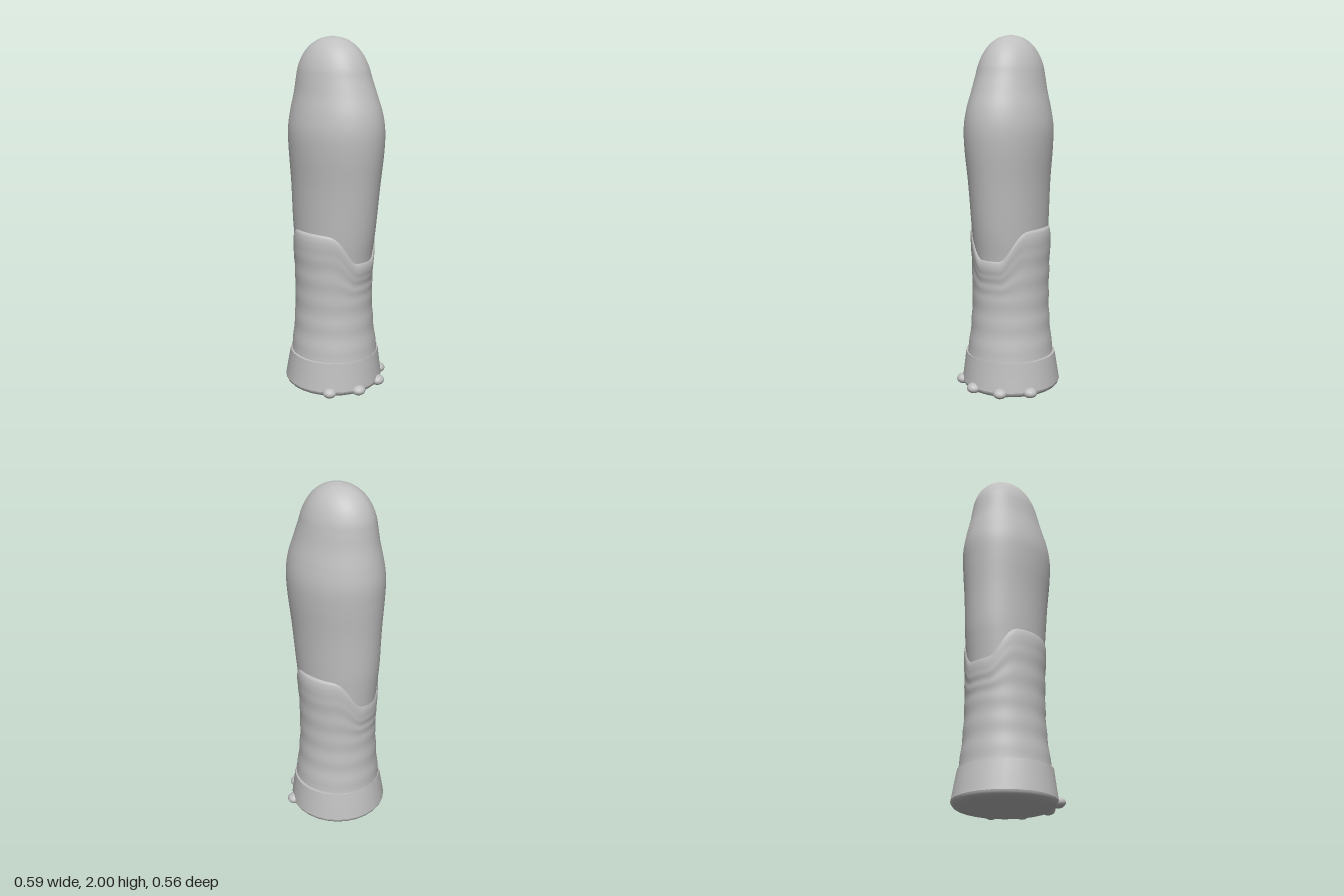
import * as THREE from 'three';

const grey = new THREE.MeshStandardMaterial({ color: 0xbfbfbf });
grey.name = 'plain grey';

// Lofts elliptical sections [y, xMin, xMax, zHalf], listed bottom to top.
// adjust(p, t) may move each vertex afterwards.
function loft(name, sections, rows, sides, adjust) {
  const xs = new THREE.CatmullRomCurve3(
    sections.map(([y, a, b]) => new THREE.Vector3(a, y, b)), false, 'catmullrom', 0.5);
  const zs = new THREE.CatmullRomCurve3(
    sections.map(([y, , , z]) => new THREE.Vector3(z, y, 0)), false, 'catmullrom', 0.5);
  const position = [], index = [];
  for (let r = 0; r <= rows; r++) {
    const t = r / rows, px = xs.getPoint(t), pz = zs.getPoint(t);
    for (let s = 0; s < sides; s++) {
      const a = (s / sides) * Math.PI * 2;
      const p = new THREE.Vector3(
        (px.x + px.z) / 2 + ((px.z - px.x) / 2) * Math.sin(a), px.y, pz.x * Math.cos(a));
      if (adjust) adjust(p, t);
      position.push(p.x, p.y, p.z);
      if (r < rows) {
        const i = r * sides + s, j = r * sides + ((s + 1) % sides);
        index.push(i, j, j + sides, i, j + sides, i + sides);
      }
    }
  }
  const geometry = new THREE.BufferGeometry();
  geometry.setAttribute('position', new THREE.Float32BufferAttribute(position, 3));
  geometry.setIndex(index);
  geometry.computeVertexNormals();
  const mesh = new THREE.Mesh(geometry, grey);
  mesh.name = name;
  return mesh;
}

export function createModel() {
  const model = new THREE.Group();
  model.name = 'roundedColumn';

  // Swelling upper body with a domed top, its foot tucked inside the sleeve
  model.add(loft('upperBody', [
    [0.60, -0.225, 0.195, 0.185],
    [0.70, -0.238, 0.206, 0.190],
    [0.80, -0.247, 0.218, 0.196],
    [0.90, -0.258, 0.234, 0.200],
    [1.00, -0.267, 0.247, 0.204],
    [1.20, -0.274, 0.268, 0.213],
    [1.38, -0.284, 0.288, 0.228],
    [1.50, -0.287, 0.292, 0.231],
    [1.60, -0.273, 0.277, 0.217],
    [1.70, -0.251, 0.242, 0.194],
    [1.78, -0.238, 0.212, 0.179],
    [1.84, -0.226, 0.192, 0.166],
    [1.90, -0.198, 0.160, 0.142],
    [1.95, -0.154, 0.115, 0.107],
    [1.985, -0.095, 0.055, 0.060],
    [2.00, -0.020, -0.020, 0],
  ], 90, 64));

  // Ribbed sleeve, high at front and back and dipping at both sides
  const sleeveTop = 0.955;
  model.add(loft('sleeve', [
    [0.15, -0.270, 0.247, 0.249],
    [0.22, -0.263, 0.241, 0.243],
    [0.32, -0.252, 0.226, 0.229],
    [0.42, -0.245, 0.216, 0.220],
    [0.52, -0.241, 0.211, 0.215],
    [0.62, -0.241, 0.211, 0.215],
    [0.72, -0.243, 0.212, 0.217],
    [0.82, -0.247, 0.217, 0.221],
    [0.88, -0.249, 0.223, 0.223],
    [0.92, -0.247, 0.222, 0.220],
    [0.945, -0.238, 0.212, 0.210],
    [sleeveTop, -0.205, 0.180, 0.180],
  ], 80, 64, (p) => {
    const y = p.y;
    const rib = 1 + 0.006 * Math.sin((y / 0.13) * Math.PI * 2) * THREE.MathUtils.smoothstep(0.88 - y, 0, 0.1);
    p.x *= rib;
    p.z *= rib;
    // lower the rim towards the sides
    const dip = 0.16 * (1 - THREE.MathUtils.smoothstep(Math.abs(p.z), 0.06, 0.18));
    p.y -= dip * THREE.MathUtils.smoothstep(y, 0.5, sleeveTop);
  }));

  // Flared base band with a narrow ledge on top
  model.add(loft('baseBand', [
    [0.055, -0.296, 0.263, 0.280],
    [0.14, -0.280, 0.252, 0.268],
    [0.22, -0.263, 0.242, 0.257],
  ], 8, 28));
  model.add(loft('baseLedge', [
    [0.22, -0.263, 0.242, 0.257],
    [0.222, -0.235, 0.215, 0.225],
  ], 1, 28));

  // Shallow rounded underside
  model.add(loft('underside', [
    [0.0, -0.016, -0.016, 0],
    [0.004, -0.120, 0.088, 0.105],
    [0.012, -0.210, 0.178, 0.195],
    [0.025, -0.270, 0.238, 0.254],
    [0.040, -0.290, 0.257, 0.274],
    [0.055, -0.296, 0.263, 0.280],
  ], 15, 28));

  // Four small round knobs along one side of the base
  const knob = new THREE.SphereGeometry(0.04, 20, 14);
  for (const side of [1, -1]) {
    for (const [x, z] of [[0.145, 0.22], [0.244, 0.086]]) {
      const mesh = new THREE.Mesh(knob, grey);
      mesh.name = 'baseKnob';
      mesh.position.set(x, 0.052, side * z);
      mesh.scale.y = 0.72;
      model.add(mesh);
    }
  }
  return model;
}
